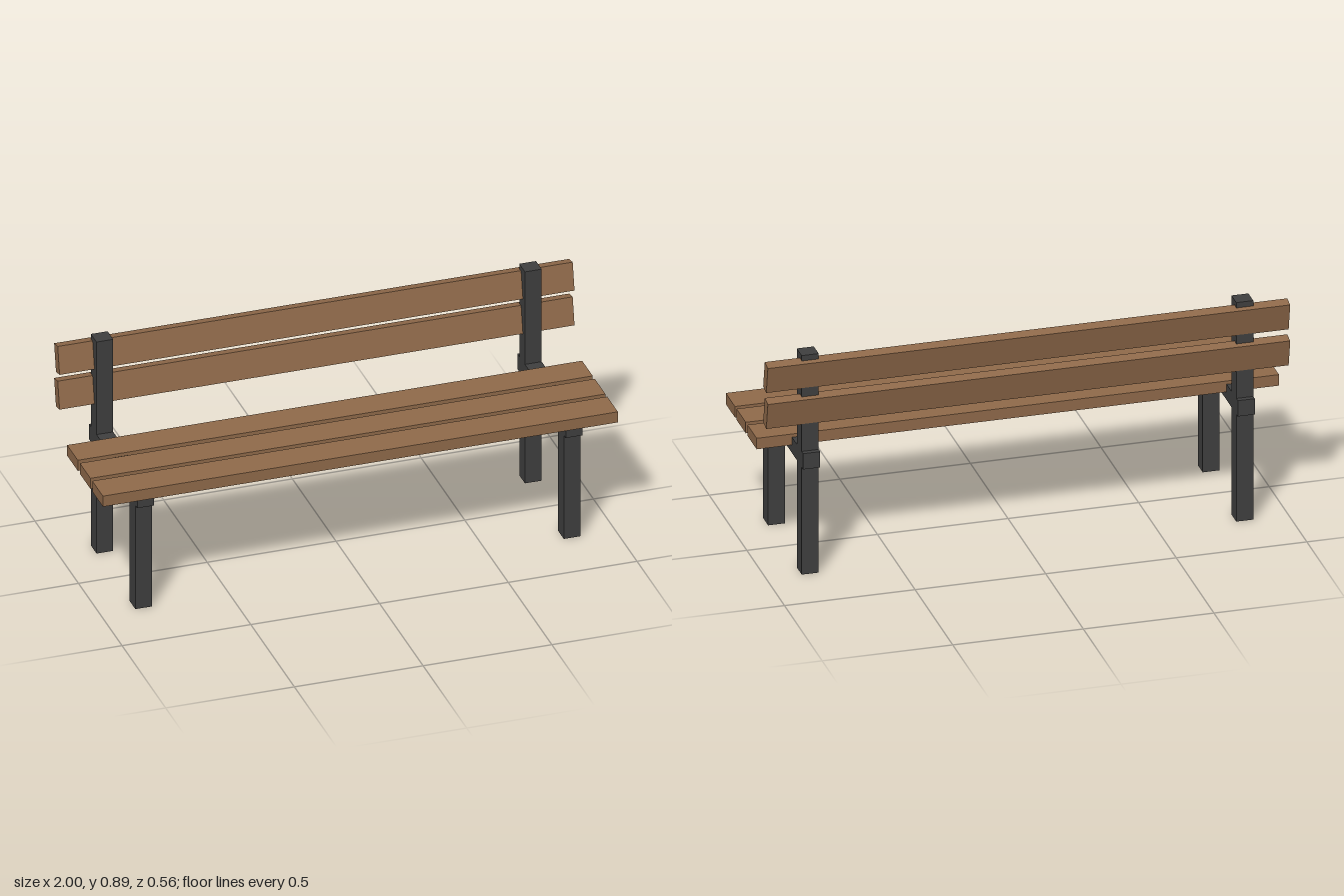
import * as THREE from 'three';

export function createModel() {
  const bench = new THREE.Group();
  bench.name = 'bench';

  const wood = new THREE.MeshStandardMaterial({ color: 0x916b4b });
  wood.name = 'brown wood';
  const iron = new THREE.MeshStandardMaterial({ color: 0x404040 });
  iron.name = 'dark grey metal';

  const box = (parent, name, material, size, position) => {
    const mesh = new THREE.Mesh(new THREE.BoxGeometry(...size), material);
    mesh.name = name;
    mesh.position.set(...position);
    parent.add(mesh);
    return mesh;
  };

  // Side frames: front leg, tall back post and the rail that carries the seat
  const bar = 0.065;
  for (const [side, x] of [['left', 0.832], ['right', -0.832]]) {
    const frame = new THREE.Group();
    frame.name = side + 'Frame';
    frame.position.x = x;
    box(frame, 'frontLeg', iron, [bar, 0.436, bar], [0, 0.218, 0.22]);
    box(frame, 'backPost', iron, [bar, 0.889, bar], [0, 0.4445, -0.226]);
    box(frame, 'seatRail', iron, [bar, 0.064, 0.554], [0, 0.468, -0.002]);
    bench.add(frame);
  }

  // Three seat slats, partly let into the rails
  for (const z of [0.219, 0.076, -0.069]) {
    box(bench, 'seatSlat', wood, [2, 0.0445, 0.122], [0, 0.491, z]);
  }

  // Two backrest slats leaning backwards
  for (const y of [0.667, 0.813]) {
    const slat = box(bench, 'backSlat', wood, [2, 0.1105, 0.042], [0, y, -0.248]);
    slat.rotation.x = THREE.MathUtils.degToRad(-11);
  }

  return bench;
}
